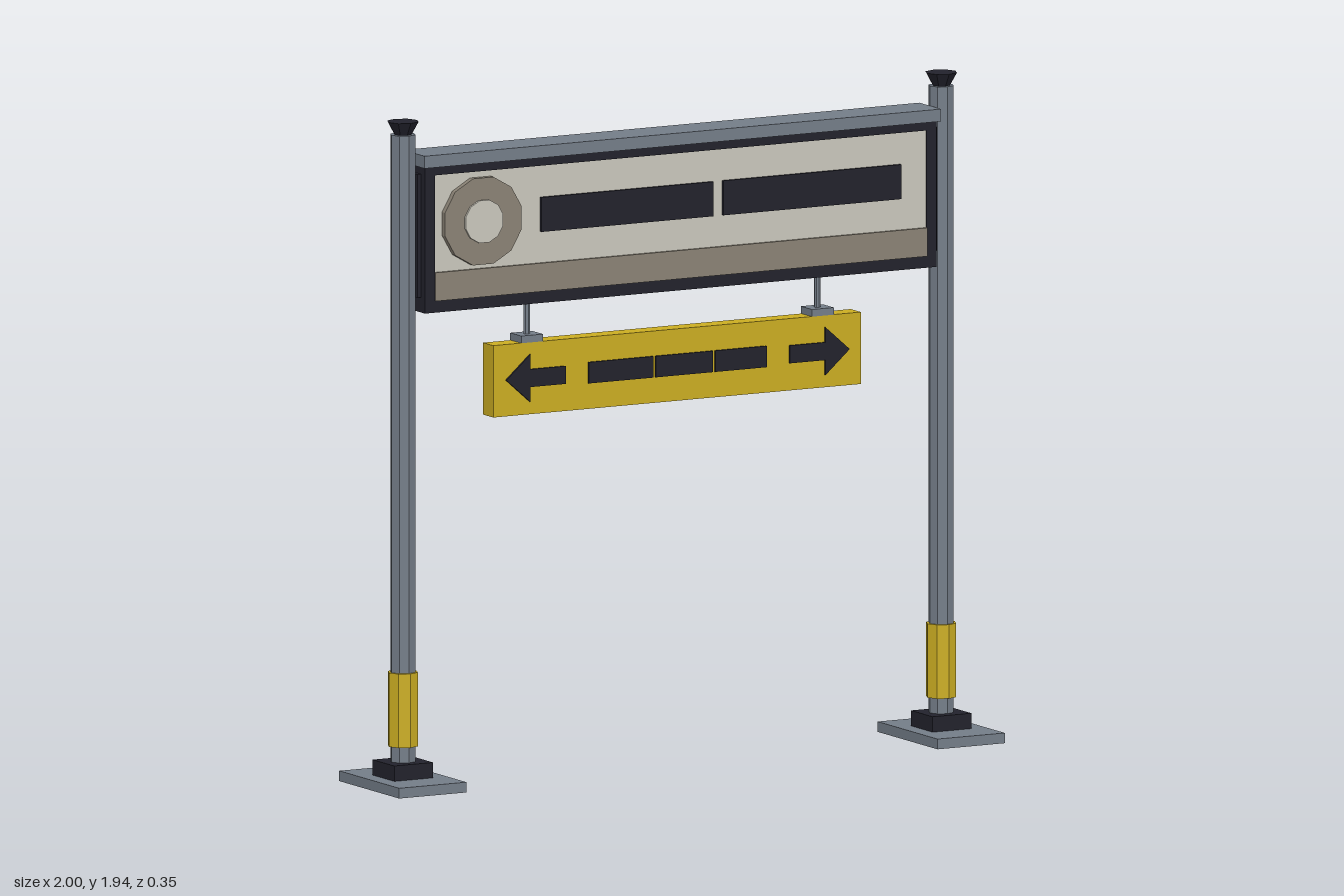
import * as THREE from 'three';

const mat = (name, color) => Object.assign(new THREE.MeshStandardMaterial({ color }), { name });

export function createModel() {
  const steel = mat('steel grey', 0x747d88);
  const dark = mat('dark charcoal', 0x22222c);
  const yellow = mat('sign yellow', 0xcbad22);
  const cream = mat('panel cream', 0xcac7bc);
  const taupe = mat('taupe', 0x8a8275);

  const model = new THREE.Group();
  model.name = 'hangingSign';

  const add = (name, geometry, material, parent = model) => {
    const mesh = new THREE.Mesh(geometry, material);
    mesh.name = name;
    parent.add(mesh);
    return mesh;
  };
  // Box given by its limits on each axis
  const box = (name, material, x0, x1, y0, y1, z0, z1, parent) => {
    const m = add(name, new THREE.BoxGeometry(x1 - x0, y1 - y0, z1 - z0), material, parent);
    m.position.set((x0 + x1) / 2, (y0 + y1) / 2, (z0 + z1) / 2);
    return m;
  };
  // Low-poly upright cylinder with flat sides
  const column = (name, material, rTop, rBottom, x, y0, y1, sides, parent) => {
    const g = new THREE.CylinderGeometry(rTop, rBottom, y1 - y0, sides).toNonIndexed();
    g.computeVertexNormals();
    const m = add(name, g, material, parent);
    m.position.set(x, (y0 + y1) / 2, 0);
    return m;
  };

  // Posts with base plate, collar, sleeve and flared cap
  for (const s of [-1, 1]) {
    const post = new THREE.Group();
    post.name = s > 0 ? 'leftPost' : 'rightPost';
    model.add(post);
    const x = s * 0.889;
    box('basePlate', steel, x - 0.111, x + 0.111, 0, 0.03, -0.177, 0.177, post);
    box('collar', dark, x - 0.064, x + 0.064, 0.03, 0.075, -0.064, 0.064, post);
    column('pole', steel, 0.0375, 0.0375, x, 0.07, 1.906, 8, post);
    column('sleeve', yellow, 0.045, 0.045, x, 0.12, 0.336, 8, post);
    column('cap', dark, 0.047, 0.026, x, 1.906, 1.944, 8, post);
    box('bracket', dark, x - s * 0.041 - 0.01, x - s * 0.041 + 0.01, 1.43, 1.79, -0.03, 0.03, post);
  }

  // Sign cabinet with top beam
  const cabinet = new THREE.Group();
  cabinet.name = 'cabinet';
  model.add(cabinet);
  box('topBeam', steel, -0.853, 0.853, 1.812, 1.848, -0.064, 0.064, cabinet);
  box('cabinetBody', dark, -0.845, 0.845, 1.386, 1.812, -0.048, 0.042, cabinet);

  // Raised rim around the front face
  const rect = (P, w, y0, y1) =>
    new P([[-w, y0], [w, y0], [w, y1], [-w, y1]].map(([x, y]) => new THREE.Vector2(x, y)));
  const rim = rect(THREE.Shape, 0.845, 1.386, 1.812);
  rim.holes.push(rect(THREE.Path, 0.812, 1.42, 1.787));
  add('frontRim', new THREE.ExtrudeGeometry(rim, { depth: 0.01, bevelEnabled: false }), dark, cabinet)
    .position.z = 0.042;
  box('facePanel', cream, -0.812, 0.812, 1.42, 1.787, 0.042, 0.048, cabinet);
  box('lowerStripe', taupe, -0.812, 0.812, 1.42, 1.503, 0.048, 0.056, cabinet);
  box('faceBarA', dark, -0.462, 0.106, 1.594, 1.695, 0.048, 0.056, cabinet);
  box('faceBarB', dark, 0.138, 0.726, 1.594, 1.695, 0.048, 0.056, cabinet);

  // Round badge on each face
  const disc = (name, material, r, x, z0, z1) => {
    const m = column(name, material, r, r, x, 0, Math.abs(z1 - z0), 12, cabinet);
    m.rotation.set(Math.PI / 2, Math.PI / 12, 0);
    m.position.set(x, 1.643, (z0 + z1) / 2);
  };
  for (const s of [1, -1]) {
    disc('badgeRing', taupe, 0.131, -s * 0.66, s * 0.044, s * 0.066);
    disc('badgeCentre', cream, 0.064, -s * 0.66, s * 0.066, s * 0.073);
  }

  // Hanging direction board
  const board = new THREE.Group();
  board.name = 'directionBoard';
  model.add(board);
  box('boardPanel', yellow, -0.607, 0.607, 1.06, 1.27, -0.03, 0.03, board);
  for (const x of [-0.48, 0.48]) {
    column('hangerRod', steel, 0.01, 0.01, x, 1.28, 1.39, 8, board);
    box('hangerClamp', steel, x - 0.036, x + 0.036, 1.27, 1.291, -0.033, 0.033, board);
  }
  for (const [x0, x1] of [[-0.295, -0.082], [-0.073, 0.116], [0.123, 0.293]])
    box('boardBar', dark, x0, x1, 1.135, 1.197, 0.03, 0.036, board);

  // Outward arrows on both faces
  const arrow = new THREE.Shape([
    [0.37, -0.026], [0.487, -0.026], [0.487, -0.07], [0.567, 0],
    [0.487, 0.07], [0.487, 0.026], [0.37, 0.026],
  ].map(([x, y]) => new THREE.Vector2(x, y)));
  const arrowGeometry = new THREE.ExtrudeGeometry(arrow, { depth: 0.006, bevelEnabled: false });
  for (const face of [1, -1]) {
    for (const turn of [0, Math.PI]) {
      const m = add('arrow', arrowGeometry, dark, board);
      m.rotation.z = turn;
      m.position.set(0, 1.166, face > 0 ? 0.03 : -0.036);
    }
  }
  return model;
}
